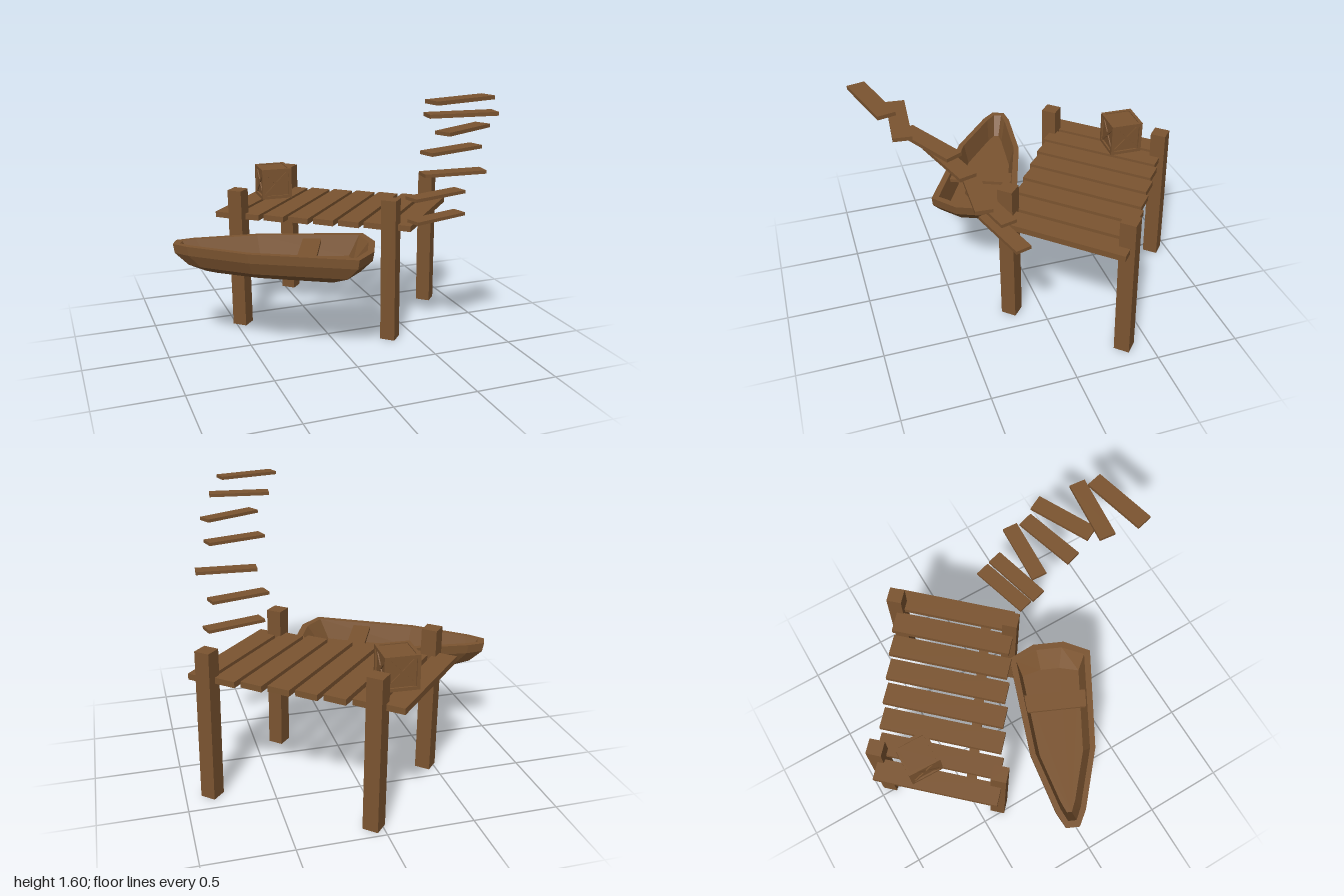
import * as THREE from 'three';

const wood = new THREE.MeshStandardMaterial({ color: 0x7b5430 });
wood.name = 'brown wood';

function box(name, parent, size, pos, yaw = 0) {
  const mesh = new THREE.Mesh(new THREE.BoxGeometry(...size), wood);
  mesh.name = name;
  mesh.position.set(...pos);
  mesh.rotation.y = yaw;
  parent.add(mesh);
  return mesh;
}

function group(name, parent) {
  const g = new THREE.Group();
  g.name = name;
  parent.add(g);
  return g;
}

// Dock: slanted row of planks, four leaning posts and a beam underneath
function addDock(parent) {
  const dock = group('dock', parent);
  const yaw = 0.823;
  for (let i = 0; i < 8; i++) {
    box('deckPlank', dock, [0.75, 0.036, 0.132], [-0.287 + 0.131 * i, 0.722, -0.677 + 0.0903 * i], yaw);
  }
  box('deckBeam', dock, [1.1, 0.025, 0.06], [0.05, 0.694, -0.2], -0.61);

  for (const [x, z] of [[-0.453, -0.366], [0.048, -0.908], [0.847, -0.352], [0.345, 0.178]]) {
    const geo = new THREE.BoxGeometry(0.092, 0.895, 0.092);
    geo.translate(0, 0.4475, 0);
    geo.rotateY(yaw);
    const p = geo.attributes.position;
    for (let i = 0; i < p.count; i++) {
      if (p.getY(i) > 0.1) p.setXYZ(i, p.getX(i) - 0.015, p.getY(i), p.getZ(i) + 0.013);
    }
    geo.computeVertexNormals();
    const post = new THREE.Mesh(geo, wood);
    post.name = 'post';
    post.position.set(x, 0, z);
    dock.add(post);
  }
}

// Crate: recessed box, edge frame and crossed braces on the sides
function addCrate(parent) {
  const crate = group('crate', parent);
  crate.position.set(-0.133, 0.842, -0.705);
  crate.rotation.y = -0.03;
  const s = 0.2, t = 0.02, e = (s - t) / 2;
  box('crateBody', crate, [s - 0.022, s - 0.012, s - 0.022], [0, 0, 0]);
  for (const a of [-e, e]) {
    for (const b of [-e, e]) {
      box('crateEdge', crate, [s, t, t], [0, a, b]);
      box('crateEdge', crate, [t, t, s], [a, b, 0]);
      box('crateEdge', crate, [t, s, t], [a, 0, b]);
    }
  }
  for (let k = 0; k < 4; k++) {
    const side = group('crateSide', crate);
    side.rotation.y = k * Math.PI / 2;
    for (const d of [-1, 1]) {
      box('crateBrace', side, [0.225, 0.018, 0.008], [0, 0, 0.0915]).rotation.z = d * Math.PI / 4;
    }
  }
}

// Floating steps: x, y, z and turn in degrees
function addSteps(parent) {
  const steps = group('floatingSteps', parent);
  const list = [
    [0.585, 0.785, 0.29, 16], [0.542, 0.943, 0.354, 15], [0.598, 1.092, 0.443, -3],
    [0.52, 1.254, 0.561, 16.5], [0.532, 1.384, 0.658, 27], [0.445, 1.49, 0.787, -5.5],
    [0.372, 1.585, 0.905, 14],
  ];
  for (const [x, y, z, a] of list) box('step', steps, [0.38, 0.02, 0.095], [x, y, z], a * Math.PI / 180);
}

// Boat: mirrored outlines lofted from the inner floor, over the rim, to the keel
function addBoat(parent) {
  const boat = group('boat', parent);
  boat.position.set(-0.353, 0, 0.132);
  boat.rotation.y = -0.423;

  const rim = [[-0.615, 0.039], [-0.52, 0.088], [-0.15, 0.198], [0.48, 0.255], [0.558, 0.097]];
  const innerRim = [[-0.575, 0.025], [-0.5, 0.06], [-0.15, 0.165], [0.46, 0.215], [0.52, 0.08]];
  const floor = [[-0.5, 0.015], [-0.43, 0.045], [-0.13, 0.135], [0.4, 0.18], [0.43, 0.06]];
  const keel = [[-0.43, 0.02], [-0.36, 0.05], [-0.1, 0.12], [0.33, 0.165], [0.39, 0.06]];
  const scaled = (o, k) => o.map(([u, w]) => [u * k, w * k]);
  const ring = (o, y) => [
    ...o.map(([u, w]) => [u, y, w]),
    ...o.map(([u, w]) => [u, y, -w]).reverse(),
  ];
  const rings = [
    ring(floor, 0.55), ring(innerRim, 0.672), ring(rim, 0.672),
    ring(scaled(rim, 0.985), 0.617), ring(scaled(rim, 0.86), 0.545), ring(keel, 0.505),
  ];

  const v = [];
  const tri = (a, b, c) => v.push(...a, ...b, ...c);
  const n = rings[0].length;
  for (let r = 0; r < rings.length - 1; r++) {
    for (let i = 0; i < n; i++) {
      const j = (i + 1) % n;
      tri(rings[r][i], rings[r + 1][i], rings[r + 1][j]);
      tri(rings[r][i], rings[r + 1][j], rings[r][j]);
    }
  }
  const top = rings[0], bottom = rings[rings.length - 1];
  for (let i = 1; i < n - 1; i++) {
    tri(top[0], top[i], top[i + 1]);
    tri(bottom[0], bottom[i + 1], bottom[i]);
  }
  const geo = new THREE.BufferGeometry();
  geo.setAttribute('position', new THREE.Float32BufferAttribute(v, 3));
  geo.computeVertexNormals();
  const hull = new THREE.Mesh(geo, wood);
  hull.name = 'boatHull';
  boat.add(hull);

  box('boatSeat', boat, [0.11, 0.02, 0.38], [0.178, 0.642, 0]);
}

export function createModel() {
  const model = new THREE.Group();
  model.name = 'dockWithBoat';
  addDock(model);
  addCrate(model);
  addSteps(model);
  addBoat(model);
  return model;
}
